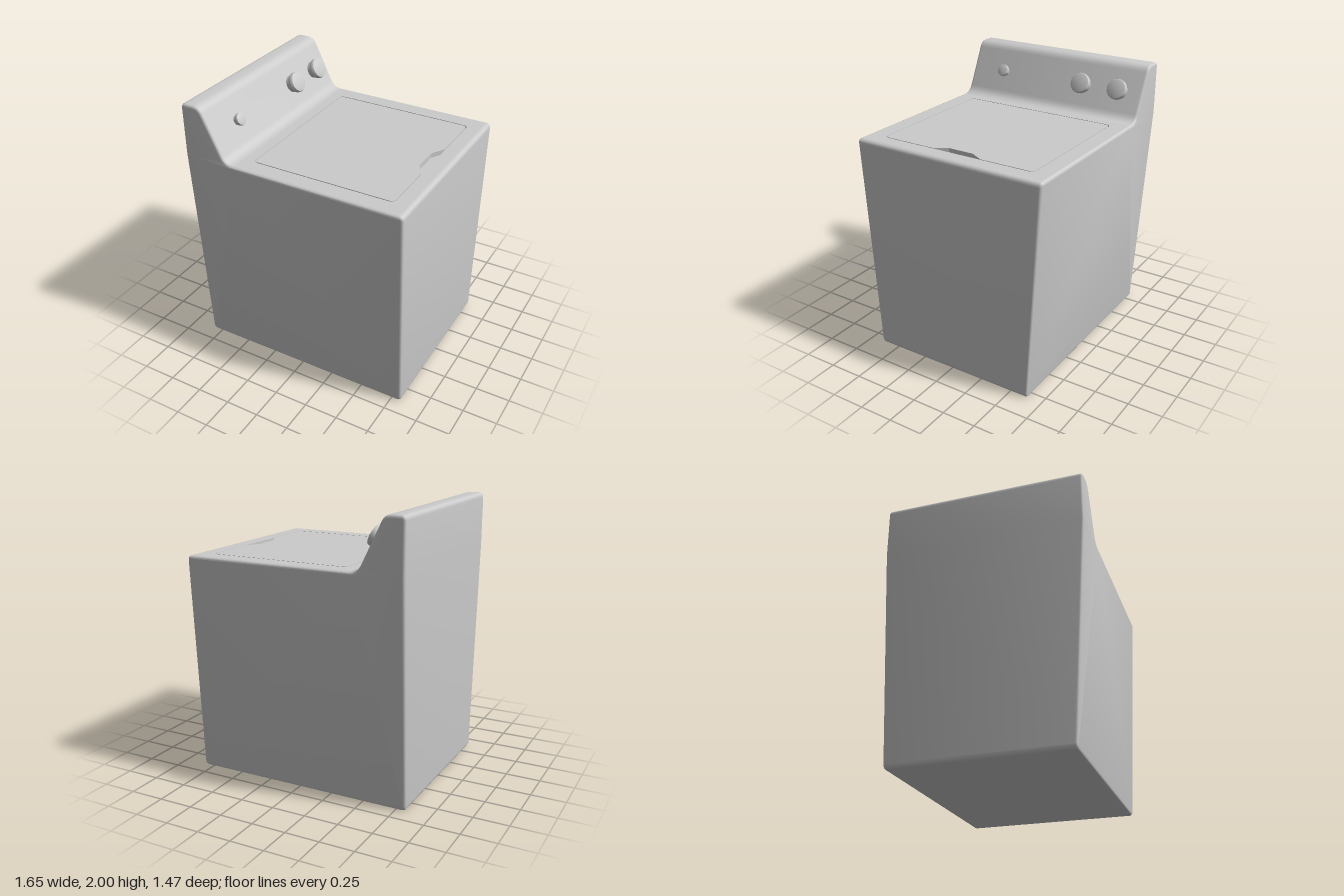
import * as THREE from 'three';
import { toCreasedNormals } from 'three/addons/utils/BufferGeometryUtils.js';

const DECK = 1.62, TOP = 2, BEVEL = 0.02, SIDE = 0.825;
const SLOPE_LOW = -0.495, SLOPE_HIGH = -0.68;
const material = new THREE.MeshStandardMaterial({ color: 0xcccccc });

// Half depth of the cabinet: widens up to the deck, then stays constant
const halfDepth = (y) => 0.64 + 0.095 * Math.min(y / DECK, 1);

function addMesh(parent, name, geometry, crease = 0.5) {
  const mesh = new THREE.Mesh(toCreasedNormals(geometry, crease), material);
  mesh.name = name;
  parent.add(mesh);
  return mesh;
}

// Closed outline from corners [x, y, radius]
function roundedOutline(corners, steps = 5) {
  const points = [];
  corners.forEach(([x, y, r], i) => {
    const p = new THREE.Vector2(x, y);
    if (!r) return points.push(p);
    const n = corners.length;
    const toward = (c) => new THREE.Vector2(c[0], c[1]).sub(p).setLength(r).add(p);
    const curve = new THREE.QuadraticBezierCurve(
      toward(corners[(i + n - 1) % n]), p, toward(corners[(i + 1) % n]));
    points.push(...curve.getPoints(steps));
  });
  return points;
}

// Outline moved inwards along its averaged normals
function inset(points, d) {
  const n = points.length;
  return points.map((p, i) => {
    const a = p.clone().sub(points[(i + n - 1) % n]).normalize();
    const b = points[(i + 1) % n].clone().sub(p).normalize();
    const t = a.add(b).normalize();
    return new THREE.Vector2(p.x - t.y * d, p.y + t.x * d);
  });
}

// Cabinet and console shell: side profile swept across the depth, bevelled, open at the deck
function shellGeometry() {
  const profile = roundedOutline([
    [-SIDE, 0, 0.035], [SIDE, 0, 0.035], [SIDE, DECK, 0.035], [SLOPE_LOW, DECK, 0.06],
    [SLOPE_HIGH, TOP, 0.05], [-SIDE, TOP, 0.035], [-SIDE, DECK, 0],
  ]);
  const n = profile.length, deckEdge = 17, steps = 4;
  const half = [];
  for (let s = 0; s <= steps; s++) {
    const a = (s / steps) * Math.PI / 2;
    half.push([BEVEL * (1 - Math.sin(a)), BEVEL * (1 - Math.cos(a))]);
  }
  const rings = [
    ...half.map(([d, back]) => [d, back, -1]),
    ...half.slice().reverse().map(([d, back]) => [d, back, 1]),
  ];
  // half[] starts at the flat side (full inset) and ends at the outer edge
  const position = [], index = [];
  rings.forEach(([d, back, sign]) => inset(profile, d).forEach((p, i) =>
    position.push(p.x, p.y, sign * (halfDepth(profile[i].y) - back))));
  for (let k = 0; k < rings.length - 1; k++) {
    for (let i = 0; i < n; i++) {
      if (k === steps && i === deckEdge) continue;
      const j = (i + 1) % n;
      const a = k * n + i, b = k * n + j, c = b + n, d = a + n;
      index.push(a, b, c, a, c, d);
    }
  }
  // Flat sides, split at deck height so each piece is planar
  const all = profile.map((_, i) => i);
  const upper = all.slice(deckEdge + 1);
  const lower = [...all.slice(0, deckEdge + 2), n - 1];
  const flat = inset(profile, BEVEL), last = (rings.length - 1) * n;
  for (const part of [lower, upper]) {
    for (const tri of THREE.ShapeUtils.triangulateShape(part.map((i) => flat[i]), [])) {
      const [a, b, c] = tri.map((t) => part[t]);
      index.push(last + a, last + b, last + c, a, c, b);
    }
  }
  const geometry = new THREE.BufferGeometry();
  geometry.setAttribute('position', new THREE.Float32BufferAttribute(position, 3));
  geometry.setIndex(index);
  return geometry;
}

// Horizontal plate with its upper face at the deck height
function plate(outline, hole) {
  const shape = new THREE.Shape(outline);
  if (hole) shape.holes.push(new THREE.Path(hole));
  const thickness = 0.04;
  return new THREE.ExtrudeGeometry(shape, { depth: thickness, bevelEnabled: false })
    .rotateX(-Math.PI / 2).translate(0, DECK - thickness, 0);
}

// Control knob with a narrow base and a wider grip, standing on the sloped console
function addKnob(parent, name, z, size) {
  const profile = [[0, -0.01], [0.062, -0.01], [0.062, 0.03], [0.073, 0.034], [0.075, 0.04],
    [0.075, 0.062], [0.071, 0.069], [0.063, 0.072], [0, 0.072]]
    .map(([r, h]) => new THREE.Vector2(r * size, h * size));
  const knob = addMesh(parent, name, new THREE.LatheGeometry(profile, 32), 0.6);
  const t = 0.5;
  knob.position.set(
    THREE.MathUtils.lerp(SLOPE_LOW, SLOPE_HIGH, t), THREE.MathUtils.lerp(DECK, TOP, t), z);
  knob.rotation.z = -Math.atan2(TOP - DECK, SLOPE_LOW - SLOPE_HIGH);
}

export function createModel() {
  const model = new THREE.Group();
  model.name = 'washingMachine';

  addMesh(model, 'cabinet', shellGeometry());

  // Deck frame around the lid opening
  const z = halfDepth(DECK) - BEVEL;
  const x0 = SLOPE_LOW + 0.06, x1 = SIDE - 0.035;
  const frame = [[x0, -z], [x1, -z], [x1, z], [x0, z]].map(([x, y]) => new THREE.Vector2(x, y));
  const opening = roundedOutline([
    [-0.362, -0.602, 0.04], [0.698, -0.602, 0.04], [0.698, 0.602, 0.04], [-0.362, 0.602, 0.04]]);
  addMesh(model, 'deckFrame', plate(frame, opening));

  // Lid with a finger notch in its free edge
  const lid = roundedOutline([
    [-0.355, -0.595, 0.035], [0.691, -0.595, 0.035],
    [0.691, -0.195, 0], [0.635, -0.095, 0], [0.635, 0.095, 0], [0.691, 0.195, 0],
    [0.691, 0.595, 0.035], [-0.355, 0.595, 0.035]]);
  addMesh(model, 'lid', plate(lid));

  // Floor under the lid gap and the notch
  const floor = addMesh(model, 'lidRecessFloor', new THREE.BoxGeometry(1.1, 0.02, 1.25));
  floor.position.set(0.168, DECK - 0.045, 0);

  addKnob(model, 'cycleKnob', -0.55, 1);
  addKnob(model, 'temperatureKnob', -0.25, 1);
  addKnob(model, 'startKnob', 0.445, 0.6);
  return model;
}
